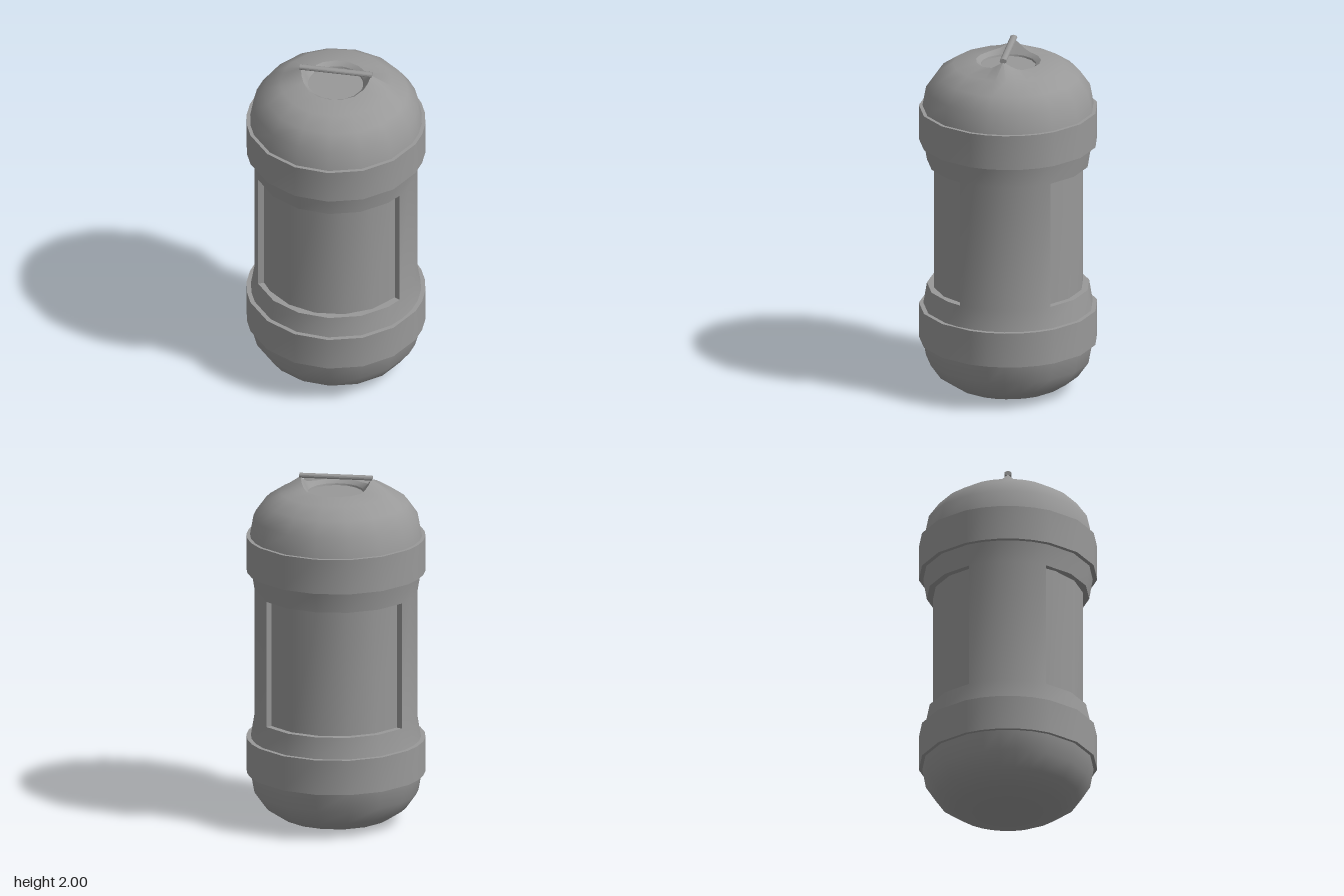
import * as THREE from 'three';
import { toCreasedNormals } from 'three/addons/utils/BufferGeometryUtils.js';

const MID_Z = -0.005;
const CREASE = 1.2;
// Facet angles measured from +z towards +x; the sides are more finely divided
const half = [22.5, 45, 67.5, 78.75, 90, 101.25, 112.5, 123.75, 146.25, 168.75];
const ANGLES = [0, ...half, ...half.map(a => 360 - a).reverse()];
// The body also has a corner where the front panel ends
const BODY_ANGLES = [...ANGLES, 56.25].sort((a, b) => a - b);
const rad = THREE.MathUtils.degToRad;

const point = (deg, r, y) =>
  new THREE.Vector3(r * Math.sin(rad(deg)), y, r * Math.cos(rad(deg)) + MID_Z);
const ring = (r, y, angles = ANGLES) => angles.map(a => point(a, r, y));

// Joins closed cross-sections, listed from the bottom up along the outside.
// Several stacks in one skin share smooth normals where they meet.
function skin(name, material, ...stacks) {
  const pos = [];
  const tri = (a, b, c) => {
    if (a.distanceTo(b) < 1e-6 || b.distanceTo(c) < 1e-6 || c.distanceTo(a) < 1e-6) return;
    pos.push(...a.toArray(), ...b.toArray(), ...c.toArray());
  };
  for (const rings of stacks) {
    for (let i = 0; i < rings.length - 1; i++) {
      const n = rings[i].length;
      for (let j = 0; j < n; j++) {
        const k = (j + 1) % n;
        tri(rings[i][j], rings[i][k], rings[i + 1][k]);
        tri(rings[i][j], rings[i + 1][k], rings[i + 1][j]);
      }
    }
  }
  const geo = new THREE.BufferGeometry();
  geo.setAttribute('position', new THREE.Float32BufferAttribute(pos, 3));
  const mesh = new THREE.Mesh(toCreasedNormals(geo, CREASE), material);
  mesh.name = name;
  return mesh;
}

export function createModel() {
  const group = new THREE.Group();
  group.name = 'canister';
  const material = new THREE.MeshStandardMaterial({ color: 0x999999 });

  // Profiles shared by the lower and upper halves [radius, height]
  const dome = [[0.31, 0.025], [0.4, 0.085], [0.46, 0.17], [0.48, 0.28]];
  const collar = [[0.475, 0.48], [0.455, 0.6], [0.36, 0.6]];
  const band = [[0.48, 0.28], [0.5, 0.28], [0.5, 0.48], [0.475, 0.48]];
  const lower = (list, angles) => list.map(([r, y]) => ring(r, y, angles));
  const upper = (list, angles) => list.map(([r, y]) => ring(r, 1.928 - y, angles)).reverse();

  group.add(skin('bottomCap', material, [ring(0, 0), ring(0.2, 0)]));
  group.add(skin('bottomDome', material, [ring(0.2, 0), ...lower(dome)]));
  group.add(skin('lowerBand', material, lower(band)));
  group.add(skin('upperBand', material, upper(band)));

  // Body: two collars, and a waist with a sunken panel at front and back [angle, radius]
  const R = 0.455, P = 0.42;
  const outline = [
    [-67.5, R], [-67.5, P],
    ...[-56.25, -33.75, -11.25, 11.25, 33.75, 56.25].map(a => [a, P]),
    ...[56.25, 67.5, 78.75, 90, 101.25, 112.5, 123.75].map(a => [a, R]),
    ...[123.75, 146.25, 168.75, 191.25, 213.75, 236.25].map(a => [a, P]),
    ...[236.25, 247.5, 258.75, 270, 281.25].map(a => [a, R]),
  ];
  const section = y => outline.map(([a, r]) => point(a, r, y));
  group.add(skin('body', material,
    lower(collar, BODY_ANGLES),
    [section(0.6), section(1.328)],
    upper(collar, BODY_ANGLES)));

  // Top dome, its rim drawn up into two soft peaks that hold the handle
  const turn = -5.5;
  const rim = ANGLES.map(a => {
    const off = Math.min(Math.abs(a - 90), Math.abs(a - 270));
    const lift = Math.max(0, 1 - off / 33) ** 1.5;
    return point(a + turn, 0.182 + 0.018 * lift, 1.921 + 0.06 * lift);
  });
  group.add(skin('topDome', material, [...upper(dome), rim]));

  // Shallow well inside the rim
  group.add(skin('wellSlope', material, [rim, ring(0.155, 1.902)]));
  group.add(skin('wellFloor', material,
    [ring(0.155, 1.902), ring(0.152, 1.892), ring(0, 1.892)]));

  // Handle bar across the top
  const bar = new THREE.CylinderGeometry(1, 1, 0.41, 12);
  bar.rotateZ(Math.PI / 2).scale(1, 0.0135, 0.02).rotateY(rad(turn));
  const handle = new THREE.Mesh(toCreasedNormals(bar, CREASE), material);
  handle.name = 'handleBar';
  handle.position.set(0, 1.9865, MID_Z);
  group.add(handle);

  return group;
}
